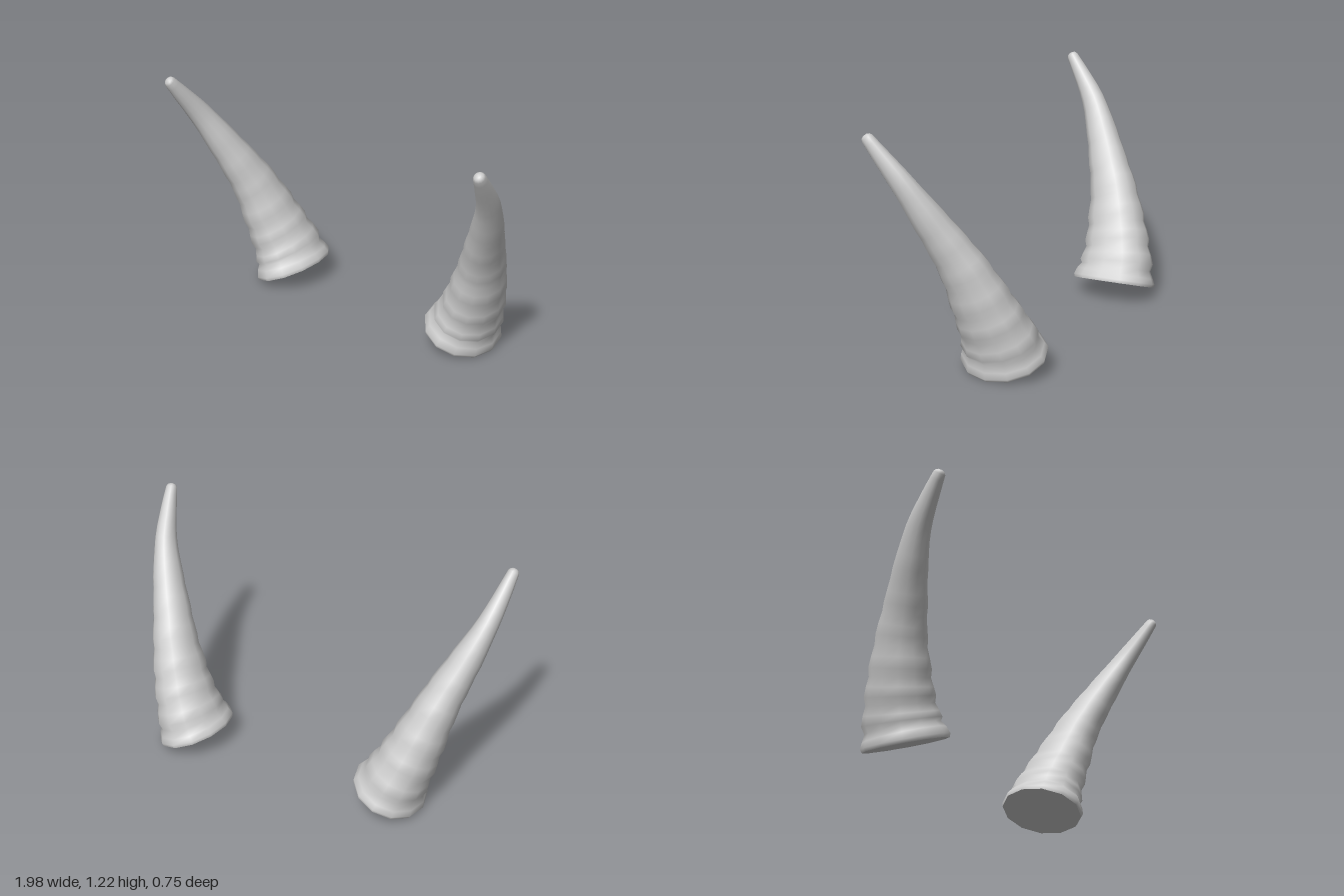
import * as THREE from 'three';

const SIDES = 12;

// Ridge stations from base to tip: centre x, y, z, then radius across and radius front-to-back
const RIDGES = [
  [0.573, 0.102, -0.145, 0.196, 0.23],
  [0.608, 0.19, -0.14, 0.172, 0.207],
  [0.653, 0.30, -0.118, 0.154, 0.182],
  [0.697, 0.42, -0.085, 0.136, 0.16],
  [0.745, 0.56, -0.04, 0.114, 0.132],
  [0.793, 0.69, 0.02, 0.097, 0.11],
  [0.85, 0.83, 0.09, 0.08, 0.088],
  [0.912, 1.0, 0.185, 0.055, 0.064],
  [0.945, 1.13, 0.28, 0.04, 0.045],
  [0.963, 1.215, 0.345, 0.029, 0.031],
];

// Rings between two ridges: [fraction along, groove depth]
const STEPS = [[0, 0], [0.35, 0.025], [0.7, 0.085]];

// Sweep an oval, ridged section along the curved horn axis; side mirrors it in x
function hornGeometry(side) {
  const last = RIDGES.length - 1;
  const curve = new THREE.CatmullRomCurve3(
    RIDGES.map(([x, y, z]) => new THREE.Vector3(side * x, y, z)));
  const rings = [];

  const addRing = (t, along, ru, rv) => {
    const tangent = curve.getTangent(t);
    const v = new THREE.Vector3(0, 0, 1).addScaledVector(tangent, -tangent.z).normalize();
    const u = new THREE.Vector3().crossVectors(tangent, v);
    const centre = curve.getPoint(t).addScaledVector(tangent, along);
    const points = [];
    for (let j = 0; j < SIDES; j++) {
      const a = (j / SIDES) * Math.PI * 2;
      points.push(centre.clone()
        .addScaledVector(u, ru * Math.cos(a))
        .addScaledVector(v, rv * Math.sin(a)));
    }
    rings.push({ centre, points });
  };

  // Bevel under the base rim
  addRing(0, -0.018, RIDGES[0][3] * 0.97, RIDGES[0][4] * 0.97);
  // Ridged body, with the grooves fading out towards the tip
  for (let i = 0; i < last; i++) {
    const fade = Math.max(0, 1 - i / 8);
    for (const [f, depth] of STEPS) {
      const k = 1 - depth * fade;
      addRing((i + f) / last, 0,
        k * THREE.MathUtils.lerp(RIDGES[i][3], RIDGES[i + 1][3], f),
        k * THREE.MathUtils.lerp(RIDGES[i][4], RIDGES[i + 1][4], f));
    }
  }
  // Rounded tip
  const [, , , tu, tv] = RIDGES[last];
  addRing(1, 0, tu, tv);
  addRing(1, 0.012, tu * 0.75, tv * 0.75);
  addRing(1, 0.018, tu * 0.35, tv * 0.35);

  const positions = [];
  const index = [];
  const push = (p) => positions.push(p.x, p.y, p.z) / 3 - 1;
  rings.forEach((ring) => ring.points.forEach(push));
  for (let i = 0; i < rings.length - 1; i++) {
    for (let j = 0; j < SIDES; j++) {
      const a = i * SIDES + j;
      const b = i * SIDES + ((j + 1) % SIDES);
      index.push(a, a + SIDES, b, b, a + SIDES, b + SIDES);
    }
  }
  // Close the tip smoothly
  const top = rings[rings.length - 1];
  const first = (rings.length - 1) * SIDES;
  const apex = push(top.centre);
  // Flat base with its own corners, so its edge stays sharp
  const base = push(rings[0].centre);
  rings[0].points.forEach(push);
  for (let j = 0; j < SIDES; j++) {
    const n = (j + 1) % SIDES;
    index.push(apex, first + n, first + j);
    index.push(base, base + 1 + j, base + 1 + n);
  }

  const geometry = new THREE.BufferGeometry();
  geometry.setAttribute('position', new THREE.Float32BufferAttribute(positions, 3));
  geometry.setIndex(index);
  geometry.computeVertexNormals();
  return geometry;
}

export function createModel() {
  const group = new THREE.Group();
  group.name = 'hornPair';
  const hornGrey = new THREE.MeshStandardMaterial({ color: 0xcccccc });
  hornGrey.name = 'hornGrey';

  for (const [name, side] of [['leftHorn', 1], ['rightHorn', -1]]) {
    const horn = new THREE.Mesh(hornGeometry(side), hornGrey);
    horn.name = name;
    group.add(horn);
  }
  return group;
}
